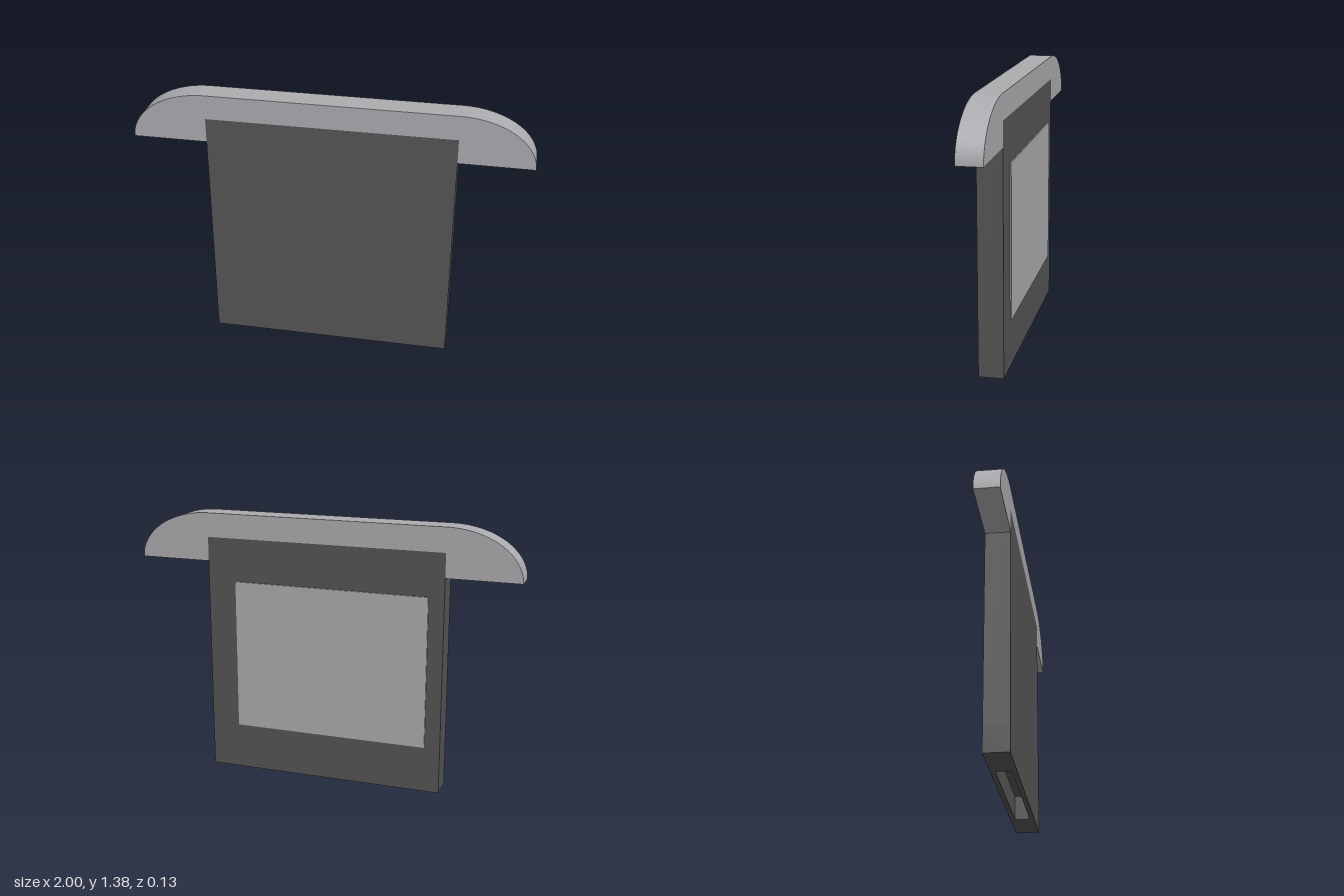
import * as THREE from 'three';
import { toCreasedNormals } from 'three/addons/utils/BufferGeometryUtils.js';

const HALF = 0.625;          // half width of the body
const BACK = -0.06, DEPTH = 0.125;
const MID = BACK + DEPTH / 2;
const SHOULDER = 1.125;      // underside of the cap
const BODY_TOP = 1.25, CAP_TOP = 1.375;
const SLOT_DEPTH = 0.125;

export function createModel() {
  const model = new THREE.Group();
  const darkGrey = new THREE.MeshStandardMaterial({ color: 0x555555 });
  darkGrey.name = 'darkGrey';
  const lightGrey = new THREE.MeshStandardMaterial({ color: 0xacacb0 });
  lightGrey.name = 'lightGrey';

  const add = (name, geometry, material, x = 0, y = 0, z = 0) => {
    const mesh = new THREE.Mesh(geometry, material);
    mesh.name = name;
    mesh.position.set(x, y, z);
    model.add(mesh);
  };
  const rectangle = (Type, w, h) => new Type([
    new THREE.Vector2(-w / 2, -h / 2), new THREE.Vector2(w / 2, -h / 2),
    new THREE.Vector2(w / 2, h / 2), new THREE.Vector2(-w / 2, h / 2),
  ]);

  // Foot of the body, with the connector slot open underneath
  const footShape = rectangle(THREE.Shape, HALF * 2, DEPTH);
  footShape.holes.push(rectangle(THREE.Path, 0.75, 0.076));
  const foot = new THREE.ExtrudeGeometry(footShape, { depth: SLOT_DEPTH, bevelEnabled: false });
  foot.rotateX(-Math.PI / 2);
  add('bodyFoot', foot, darkGrey, 0, 0, MID);

  // Main slab; its underside closes the slot
  const slabHeight = BODY_TOP - SLOT_DEPTH;
  add('body', new THREE.BoxGeometry(HALF * 2, slabHeight, DEPTH), darkGrey,
    0, SLOT_DEPTH + slabHeight / 2, MID);

  // Wide cap with rounded shoulders, notched to sit flush around the body
  const cap = new THREE.Shape();
  cap.moveTo(HALF, SHOULDER);
  cap.lineTo(1, SHOULDER);
  cap.absellipse(HALF, SHOULDER, 1 - HALF, CAP_TOP - SHOULDER, 0, Math.PI / 2, false);
  cap.lineTo(-HALF, CAP_TOP);
  cap.absellipse(-HALF, SHOULDER, 1 - HALF, CAP_TOP - SHOULDER, Math.PI / 2, Math.PI, false);
  cap.lineTo(-HALF, SHOULDER);
  cap.lineTo(-HALF, BODY_TOP);
  cap.lineTo(HALF, BODY_TOP);
  cap.closePath();
  const capGeometry = new THREE.ExtrudeGeometry(cap,
    { depth: DEPTH, bevelEnabled: false, curveSegments: 32 });
  add('cap', toCreasedNormals(capGeometry, 0.5), lightGrey, 0, 0, BACK);

  // Blank label plate on the back, slightly off centre
  add('label', new THREE.BoxGeometry(1.02, 0.785, 0.006), lightGrey, -0.035, 0.633, BACK - 0.003);

  return model;
}
